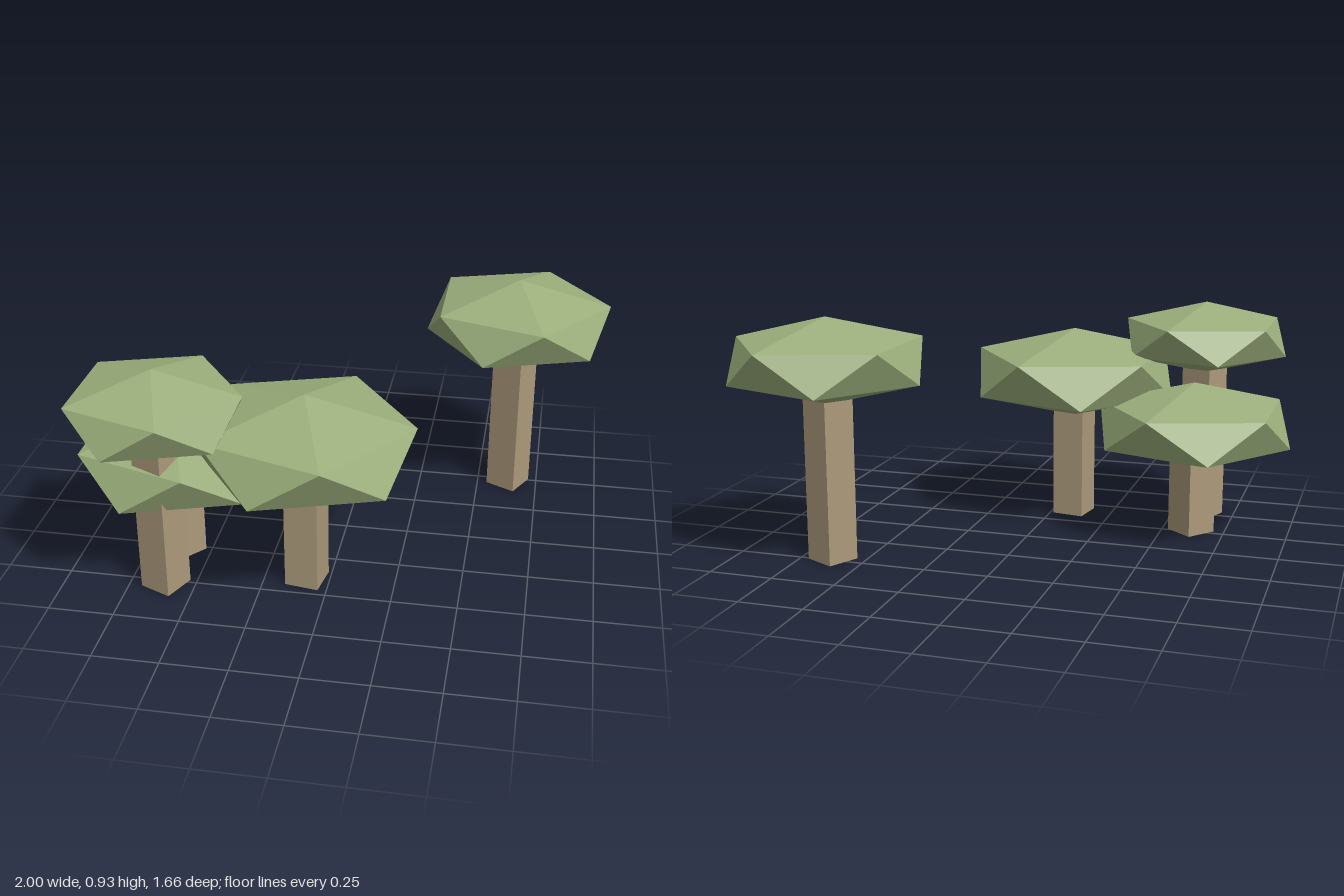
import * as THREE from 'three';
import { ConvexGeometry } from 'three/addons/geometries/ConvexGeometry.js';

// Unit crown: two staggered five-point rings between a top and a bottom point
function crownGeometry() {
  const ringY = 0.447;
  const points = [new THREE.Vector3(0, 1, 0), new THREE.Vector3(0, -1, 0)];
  for (let i = 0; i < 5; i++) {
    const a = (i * Math.PI * 2) / 5;
    points.push(new THREE.Vector3(Math.cos(a), ringY, Math.sin(a)));
    points.push(new THREE.Vector3(-Math.cos(a), -ringY, -Math.sin(a)));
  }
  return new ConvexGeometry(points);
}

export function createModel() {
  const leaf = new THREE.MeshStandardMaterial({ color: 0x9caf7c });
  leaf.name = 'leafGreen';
  const bark = new THREE.MeshStandardMaterial({ color: 0xac9a7b });
  bark.name = 'barkBrown';

  const crownShape = crownGeometry();
  const trunkShape = new THREE.BoxGeometry(0.131, 1, 0.131);
  trunkShape.translate(0, 0.5, 0);

  // Position, crown radius, crown centre height and half height, trunk turn
  const trees = [
    { name: 'tallTree', x: 0.628, z: -0.48, r: 0.368, y: 0.768, h: 0.164, turn: -0.48 },
    { name: 'wideTree', x: -0.088, z: 0.397, r: 0.412, y: 0.605, h: 0.184, turn: -0.16 },
    { name: 'frontTree', x: -0.614, z: 0.517, r: 0.329, y: 0.757, h: 0.147, turn: -0.42 },
    { name: 'shortTree', x: -0.616, z: 0.268, r: 0.385, y: 0.443, h: 0.171, turn: -0.7 },
  ];

  const model = new THREE.Group();
  model.name = 'treeGroup';
  for (const t of trees) {
    const tree = new THREE.Group();
    tree.name = t.name;
    tree.position.set(t.x, 0, t.z);

    const trunk = new THREE.Mesh(trunkShape, bark);
    trunk.name = 'trunk';
    trunk.scale.y = t.y + t.h - 0.06;
    trunk.rotation.y = t.turn;

    const crown = new THREE.Mesh(crownShape, leaf);
    crown.name = 'crown';
    crown.position.y = t.y;
    crown.scale.set(t.r, t.h, t.r);

    tree.add(trunk, crown);
    model.add(tree);
  }
  return model;
}
